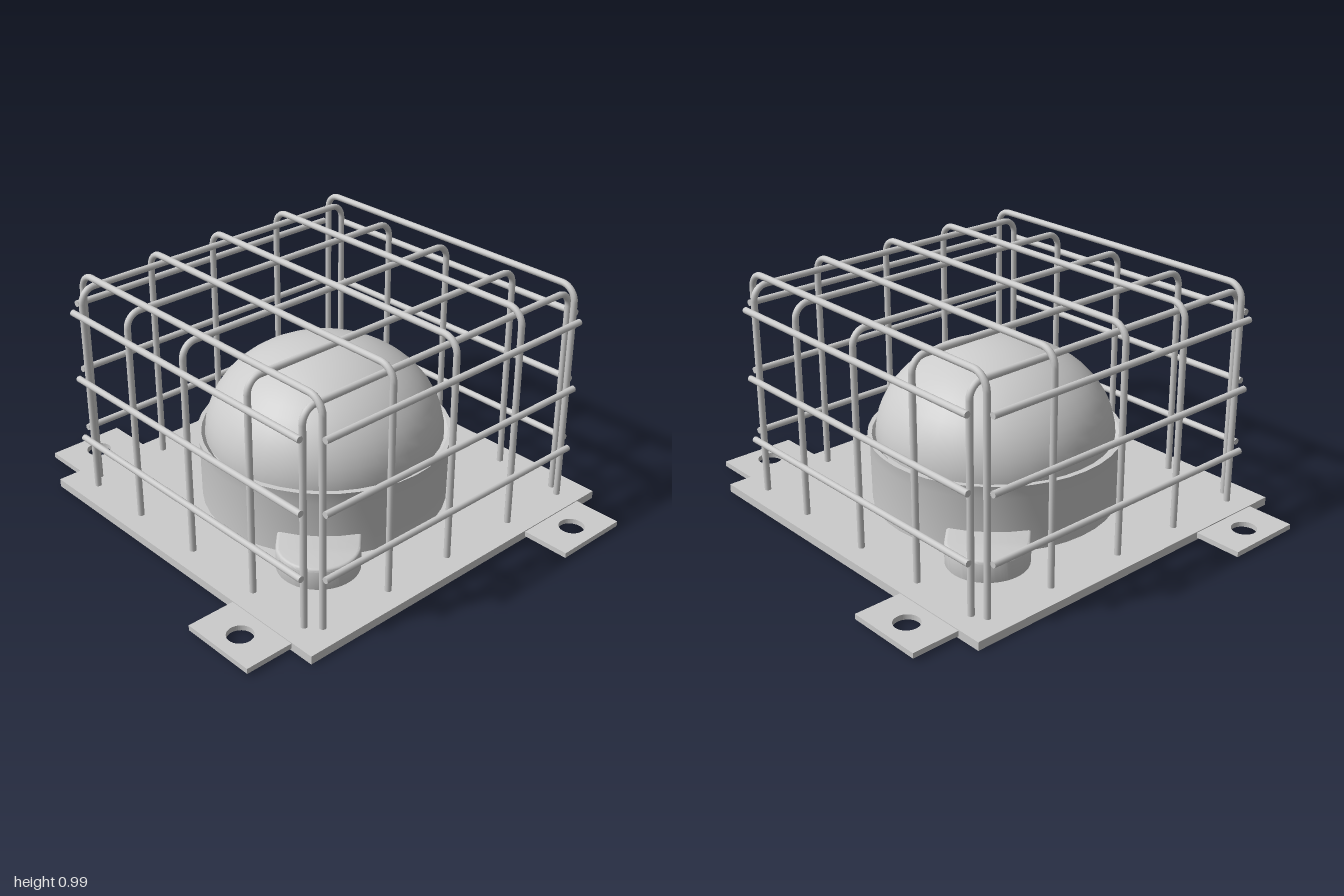
import * as THREE from 'three';
import { mergeGeometries, toCreasedNormals } from 'three/addons/utils/BufferGeometryUtils.js';

const WIRE = 0.0135;   // wire radius
const PLATE_TOP = 0.035;
const material = new THREE.MeshStandardMaterial({ color: 0xcccccc });

function add(parent, name, geometry) {
  const mesh = new THREE.Mesh(geometry, material);
  mesh.name = name;
  parent.add(mesh);
  return mesh;
}

// Straight wire along x, centred on the origin
function wireAlongX(length) {
  return new THREE.CylinderGeometry(WIRE, WIRE, length, 12).rotateZ(Math.PI / 2);
}

// Inverted U of wire in the xy plane: two legs, two round bends, one top run
function hoopGeometry(halfWidth, top, bend) {
  const foot = PLATE_TOP - 0.01;
  const legHeight = top - bend - foot;
  const parts = [wireAlongX(2 * (halfWidth - bend)).translate(0, top, 0)];
  for (const side of [1, -1]) {
    parts.push(new THREE.CylinderGeometry(WIRE, WIRE, legHeight, 12)
      .translate(side * halfWidth, foot + legHeight / 2, 0));
    const corner = new THREE.TorusGeometry(bend, WIRE, 12, 8, Math.PI / 2);
    if (side < 0) corner.rotateZ(Math.PI / 2);
    parts.push(corner.translate(side * (halfWidth - bend), top - bend, 0));
  }
  return mergeGeometries(parts);
}

export function createModel() {
  const model = new THREE.Group();
  model.name = 'cagedDome';

  // Base plate
  add(model, 'basePlate', new THREE.BoxGeometry(1.59, PLATE_TOP, 1.59)
    .translate(0, PLATE_TOP / 2, 0));

  // Four drilled mounting tabs, one per side, in a pinwheel
  const tabShape = new THREE.Shape();
  tabShape.moveTo(0.36, 0.79).lineTo(0.69, 0.79).lineTo(0.69, 1).lineTo(0.36, 1).closePath();
  tabShape.holes.push(new THREE.Path().absarc(0.527, 0.896, 0.052, 0, Math.PI * 2, true));
  const tabGeometry = new THREE.ExtrudeGeometry(tabShape, { depth: 0.022, bevelEnabled: false, curveSegments: 24 })
    .rotateX(Math.PI / 2).translate(0, 0.031, 0);
  for (let i = 0; i < 4; i++) {
    add(model, 'mountingTab', tabGeometry).rotation.y = i * Math.PI / 2;
  }

  // Collar around the foot of the dome
  const collarProfile = [[0.512, 0.03], [0.515, 0.27], [0.525, 0.325], [0.507, 0.325], [0.485, 0.3]]
    .map(([r, y]) => new THREE.Vector2(r, y));
  add(model, 'collar', toCreasedNormals(new THREE.LatheGeometry(collarProfile, 40), 0.5));

  // Flattened dome
  add(model, 'dome', new THREE.SphereGeometry(1, 40, 14, 0, Math.PI * 2, 0, Math.PI / 2)
    .scale(0.492, 0.385, 0.492).translate(0, 0.318, 0));

  // Two rounded bosses reaching diagonally out from the collar
  const edge = 0.012, radius = 0.165 - edge, reach = 0.57;
  const bossShape = new THREE.Shape();
  bossShape.moveTo(0.4, -radius).lineTo(reach, -radius);
  bossShape.absarc(reach, 0, radius, -Math.PI / 2, Math.PI / 2, false);
  bossShape.lineTo(0.4, radius).closePath();
  const bossGeometry = toCreasedNormals(new THREE.ExtrudeGeometry(bossShape, {
    depth: 0.09, bevelThickness: edge, bevelSize: edge, bevelSegments: 3, curveSegments: 20,
  }), 0.6).rotateX(-Math.PI / 2).translate(0, 0.023, 0);
  for (const turn of [-Math.PI / 4, Math.PI * 3 / 4]) {
    add(model, 'boss', bossGeometry).rotation.y = turn;
  }

  // Wire cage
  const cage = new THREE.Group();
  cage.name = 'cage';
  model.add(cage);

  // Taller hoops spanning x
  const wideHoop = hoopGeometry(0.702, 0.975, 0.065);
  for (const z of [-0.67, -0.357, 0, 0.322, 0.655]) {
    add(cage, 'crossHoop', wideHoop).position.z = z;
  }

  // Lower hoops spanning z
  const deepHoop = hoopGeometry(0.7, 0.933, 0.06).rotateY(Math.PI / 2);
  for (const x of [-0.648, -0.343, 0, 0.365, 0.651]) {
    add(cage, 'lengthHoop', deepHoop).position.x = x;
  }

  // Three horizontal rails on each of the four sides
  const rail = wireAlongX(1.345);
  for (const y of [0.268, 0.542, 0.836]) {
    for (let i = 0; i < 4; i++) {
      const angle = i * Math.PI / 2;
      const offset = i % 2 ? 0.734 : 0.73;
      const mesh = add(cage, 'sideRail', rail);
      mesh.rotation.y = angle;
      mesh.position.set(Math.sin(angle) * offset, y, Math.cos(angle) * offset);
    }
  }
  return model;
}
